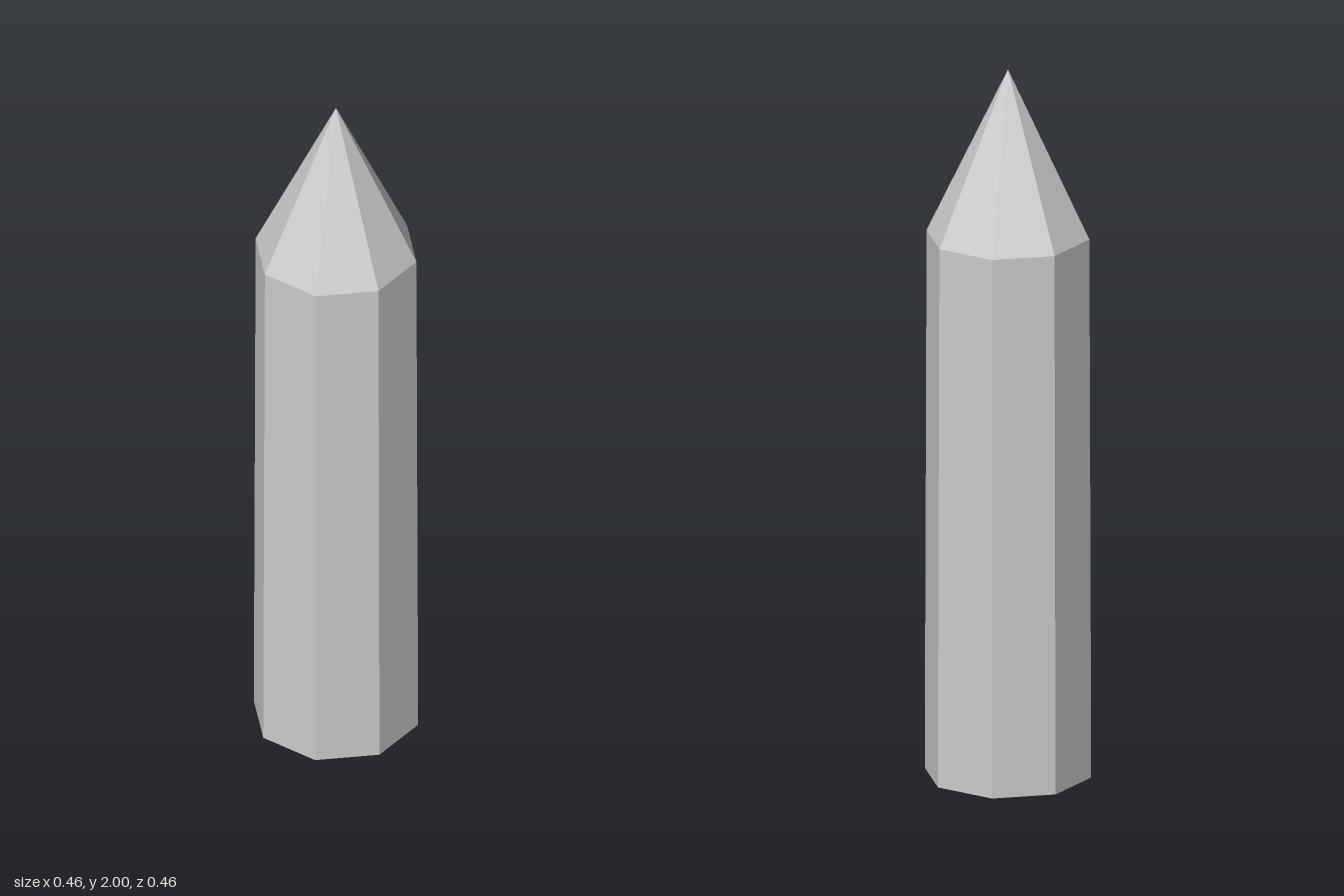
import * as THREE from 'three';

const SIDES = 8;
const SHOULDER_Y = 1.53;
const HEIGHT = 2;
const BASE_RADIUS = 0.229;
const SHOULDER_RADIUS = 0.224;

export function createModel() {
  const group = new THREE.Group();
  group.name = 'pointedPost';
  const material = new THREE.MeshStandardMaterial({ color: 0xcccccc, flatShading: true });

  // Slightly tapered octagonal shaft, closed underneath; the tip covers its top
  const shaftGeometry = new THREE.LatheGeometry(
    [
      new THREE.Vector2(0, 0),
      new THREE.Vector2(BASE_RADIUS, 0),
      new THREE.Vector2(SHOULDER_RADIUS, SHOULDER_Y),
    ],
    SIDES
  );
  const shaft = new THREE.Mesh(shaftGeometry, material);
  shaft.name = 'shaft';
  group.add(shaft);

  // Pointed tip
  const tipHeight = HEIGHT - SHOULDER_Y;
  const tip = new THREE.Mesh(
    new THREE.ConeGeometry(SHOULDER_RADIUS, tipHeight, SIDES, 1, true),
    material
  );
  tip.name = 'tip';
  tip.position.y = SHOULDER_Y + tipHeight / 2;
  group.add(tip);

  return group;
}
